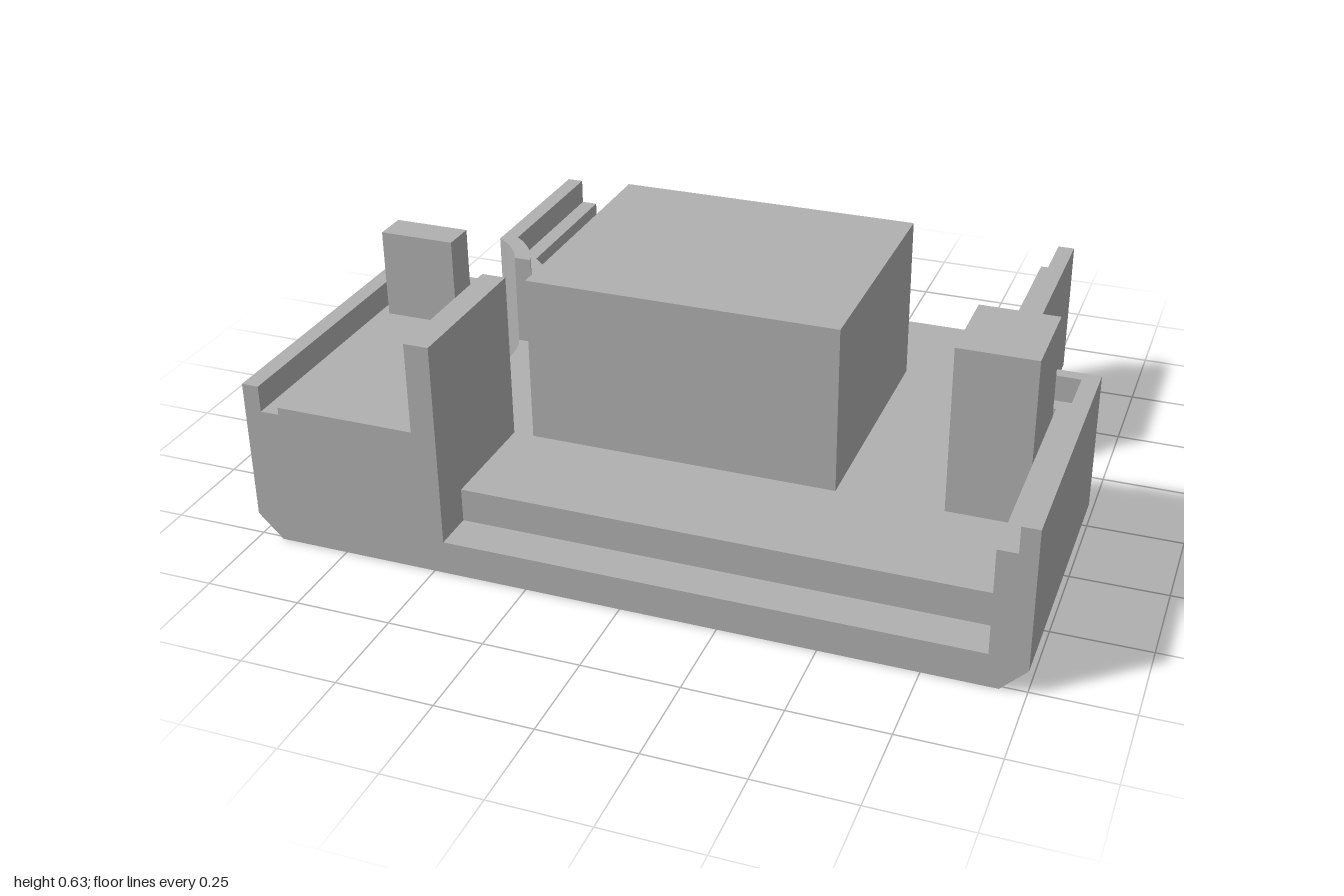
import * as THREE from 'three';
import { toCreasedNormals } from 'three/addons/utils/BufferGeometryUtils.js';

// Neck scallop: concentric arcs around a centre outside each side
const CX = 0.914, CZ = -0.06;
const R_OUT = 0.244, R_MID = 0.289, R_IN = 0.334;

// Arc points [x, z] from where the arc meets x = startX forward to z = endZ
function arc(r, startX, endZ, n = 12) {
  const a0 = -Math.acos((CX - startX) / r);
  const a1 = Math.asin((endZ - CZ) / r);
  return Array.from({ length: n + 1 }, (_, i) => {
    const a = a0 + ((a1 - a0) * i) / n;
    return [CX - r * Math.cos(a), CZ + r * Math.sin(a)];
  });
}

// Upright prism over a plan outline of [x, z] points
function prism(points, y0, y1) {
  const shape = new THREE.Shape(points.map(([x, z]) => new THREE.Vector2(x, -z)));
  const g = new THREE.ExtrudeGeometry(shape, { depth: y1 - y0, bevelEnabled: false });
  g.rotateX(-Math.PI / 2);
  g.translate(0, y0, 0);
  return g;
}

// Symmetric outline from its +x half, listed back to front
function symmetric(half) {
  return [...half, ...half.map(([x, z]) => [-x, z]).reverse()];
}

export function createModel() {
  const group = new THREE.Group();
  const grey = new THREE.MeshStandardMaterial({ color: 0xb0b0b0 });
  grey.name = 'grey';

  const add = (name, geometry) => {
    const mesh = new THREE.Mesh(toCreasedNormals(geometry, 0.5), grey);
    mesh.name = name;
    group.add(mesh);
  };
  const box = (name, x0, x1, y0, y1, z0, z1) => {
    const g = new THREE.BoxGeometry(x1 - x0, y1 - y0, z1 - z0);
    g.translate((x0 + x1) / 2, (y0 + y1) / 2, (z0 + z1) / 2);
    add(name, g);
  };

  // Base plate with chamfered lower side edges
  const footprint = symmetric([
    [0.79, -0.76], ...arc(R_OUT, 0.79, 0, 20), [1, 0], [1, 0.76],
  ]);
  const chamfer = prism(footprint, 0, 0.065);
  const p = chamfer.attributes.position;
  for (let i = 0; i < p.count; i++) {
    if (p.getY(i) > 0.03) continue;
    const limit = p.getZ(i) > -0.001 ? 0.935 : 0.725;
    p.setX(i, THREE.MathUtils.clamp(p.getX(i), -limit, limit));
  }
  add('chamferedBottom', chamfer);
  add('basePlate', prism(footprint, 0.065, 0.09));

  // Raised floor, running out to the edge in the neck openings
  add('raisedFloor', prism(symmetric([
    [0.75, -0.66], [0.75, -0.3], [0.79, -0.27], ...arc(R_OUT, 0.79, 0, 20).slice(1),
    [0.95, 0], [0.95, 0.65],
  ]), 0.09, 0.18));

  // Stepped side walls: tall outer lip and lower inner ledge
  const rearWall = (rA, xA, rB, xB) => [
    [xA, -0.76], ...arc(rA, xA, -0.16), ...arc(rB, xB, -0.16).reverse(), [xB, -0.76],
  ];
  const wingWall = (xA, zA, xB, zB) => [
    [xA, 0.76], [xA, zA], [0.7, zA], [0.7, zB], [xB, zB], [xB, 0.76],
  ];
  for (const [side, s] of [['left', 1], ['right', -1]]) {
    const wall = (name, points, top) =>
      add(side + name, prism(points.map(([x, z]) => [s * x, z]), 0.08, top));
    wall('RearLip', rearWall(R_OUT, 0.79, R_MID, 0.745), 0.44);
    wall('RearLedge', rearWall(R_MID, 0.745, R_IN, 0.7), 0.37);
    wall('WingLip', wingWall(1, 0, 0.955, 0.035), 0.44);
    wall('WingLedge', wingWall(0.955, 0.035, 0.905, 0.08), 0.37);
  }

  // Central block
  box('centralBlock', -0.415, 0.415, 0.17, 0.63, -0.35, 0.34);

  // Left post
  box('leftPost', 0.695, 0.9, 0.17, 0.63, 0.09, 0.34);

  // Right L-shaped shelf with its post and upright fin
  add('rightShelf', prism([
    [-0.905, 0.1], [-0.7, 0.1], [-0.7, 0.34], [-0.47, 0.34], [-0.47, 0.76], [-0.905, 0.76],
  ], 0.08, 0.39));
  box('rightPost', -0.905, -0.7, 0.38, 0.63, 0.1, 0.19);
  box('rightFin', -0.535, -0.47, 0.38, 0.63, 0.34, 0.76);

  return group;
}
